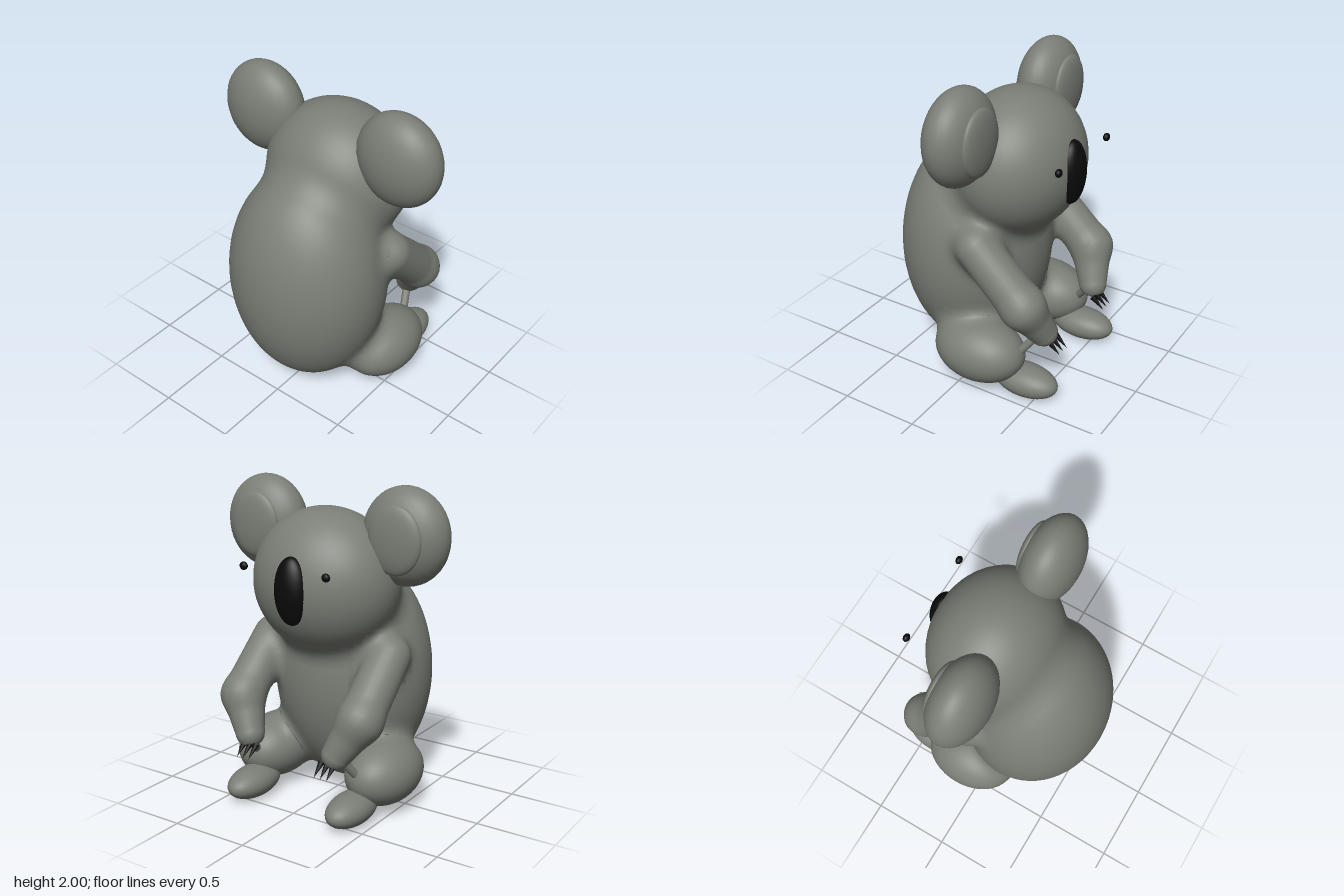
import * as THREE from 'three';

const V = (x, y, z) => new THREE.Vector3(x, y, z);

// Main masses: centre and radii (limbs are mirrored by |x|)
const BODY = { c: V(0, 0.78, 0.17), r: V(0.52, 0.74, 0.465) };
const HEAD = { c: V(0, 1.4, -0.13), r: V(0.47, 0.45, 0.4) };
const THIGH = { c: V(0.41, 0.245, -0.105), r: V(0.22, 0.205, 0.305) };
// Arm joints with radii
const ARM = [
  { p: V(0.43, 0.98, -0.1), r: 0.13 },
  { p: V(0.43, 0.67, -0.425), r: 0.135 },
  { p: V(0.32, 0.46, -0.505), r: 0.09 },
];

// Soft-joined distance field of the furry masses
function ellipsoidField(p, { c, r }) {
  const q = p.clone().sub(c).divide(r);
  const k0 = q.length();
  return (k0 * (k0 - 1)) / Math.max(q.divide(r).length(), 1e-6);
}
function boneField(p, a, b) {
  const d = b.p.clone().sub(a.p);
  const q = p.clone().sub(a.p);
  const t = THREE.MathUtils.clamp(q.dot(d) / d.lengthSq(), 0, 1);
  return q.addScaledVector(d, -t).length() - THREE.MathUtils.lerp(a.r, b.r, t);
}
function softMin(a, b, k) {
  const h = Math.max(k - Math.abs(a - b), 0) / k;
  return Math.min(a, b) - (h * h * k) / 4;
}
function field(v) {
  const p = V(Math.abs(v.x), v.y, v.z);
  const trunk = softMin(ellipsoidField(p, BODY), ellipsoidField(p, HEAD), 0.1);
  const arm = softMin(boneField(p, ARM[0], ARM[1]), boneField(p, ARM[1], ARM[2]), 0.04);
  return softMin(softMin(trunk, ellipsoidField(p, THIGH), 0.1), arm, 0.09);
}
function gradient(p) {
  const e = 0.002;
  const g = ['x', 'y', 'z'].map((axis) => {
    const a = p.clone(), b = p.clone();
    a[axis] += e;
    b[axis] -= e;
    return (field(a) - field(b)) / (2 * e);
  });
  return V(...g);
}

// Pull exposed vertices onto the blended surface and shade from it
function blend(geo) {
  const pos = geo.attributes.position, nor = geo.attributes.normal;
  const p = V(0, 0, 0);
  for (let i = 0; i < pos.count; i++) {
    p.fromBufferAttribute(pos, i);
    if (field(p) > -0.07) {
      for (let n = 0; n < 6; n++) {
        const g = gradient(p);
        p.addScaledVector(g, -field(p) / Math.max(g.lengthSq(), 0.2));
      }
    }
    const n = gradient(p).normalize();
    pos.setXYZ(i, p.x, p.y, p.z);
    nor.setXYZ(i, n.x, n.y, n.z);
  }
  return geo;
}

function ellipsoid(c, r, w = 32, h = 24) {
  return new THREE.SphereGeometry(1, w, h).scale(r.x, r.y, r.z).translate(c.x, c.y, c.z);
}

// Tube with rounded ends that follows the arm joints
function armGeometry(side) {
  const [a, b, c] = ARM.map((j) => j.p);
  const start = a.clone().add(a.clone().sub(b).setLength(0.12));
  const end = c.clone().add(c.clone().sub(b).setLength(0.085));
  const curve = new THREE.CatmullRomCurve3([start, a, b, c, end].map((p) => V(p.x * side, p.y, p.z)));
  const steps = 36, sides = 24;
  const geo = new THREE.TubeGeometry(curve, steps, 0.12, sides);
  const pos = geo.attributes.position, p = V(0, 0, 0);
  for (let i = 0; i <= steps; i++) {
    const t = i / steps, centre = curve.getPointAt(t);
    const s = Math.pow(Math.max(1 - Math.pow(Math.abs(2 * t - 1), 5), 0), 0.5);
    for (let j = 0; j <= sides; j++) {
      const k = i * (sides + 1) + j;
      p.fromBufferAttribute(pos, k).sub(centre).multiplyScalar(Math.max(s, 0.01)).add(centre);
      pos.setXYZ(k, p.x, p.y, p.z);
    }
  }
  return geo;
}

export function createModel() {
  const model = new THREE.Group();
  model.name = 'koala';
  const fur = new THREE.MeshStandardMaterial({ color: 0x7b7e76 });
  fur.name = 'grey fur';
  const black = new THREE.MeshStandardMaterial({ color: 0x0a0a0a });
  black.name = 'black';

  const add = (name, geo, mat = fur) => {
    const mesh = new THREE.Mesh(geo, mat);
    mesh.name = name;
    model.add(mesh);
    return mesh;
  };

  // Trunk
  add('body', blend(ellipsoid(BODY.c, BODY.r, 56, 44)));
  add('head', blend(ellipsoid(HEAD.c, HEAD.r, 48, 36)));
  add('nose', ellipsoid(V(0, 1.4, -0.49), V(0.112, 0.205, 0.082)), black);

  for (const side of [1, -1]) {
    const label = side > 0 ? 'left' : 'right';
    const at = (x, y, z) => V(side * x, y, z);

    // Ears
    add(label + 'Ear', ellipsoid(at(0.5, 1.705, -0.045), V(0.28, 0.295, 0.175)));
    add(label + 'InnerEar', ellipsoid(at(0.5, 1.7, -0.18), V(0.175, 0.205, 0.05)));

    // Eyes
    add(label + 'Eye', ellipsoid(at(0.29, 1.53, -0.563), V(0.027, 0.025, 0.02), 14, 10), black);

    // Limbs
    add(label + 'Arm', blend(armGeometry(side)));
    add(label + 'Thigh', blend(ellipsoid(at(0.41, 0.245, -0.105), THIGH.r, 40, 28)));
    add(label + 'Foot', ellipsoid(at(0.37, 0.1, -0.415), V(0.125, 0.1, 0.22)));

    // Thin web of fur between paw and knee
    const web = new THREE.CatmullRomCurve3([at(0.33, 0.43, -0.47), at(0.35, 0.365, -0.425), at(0.38, 0.28, -0.36)]);
    add(label + 'PawWeb', new THREE.TubeGeometry(web, 10, 0.026, 10));

    // Claws
    for (const x of [0.243, 0.287, 0.331]) {
      const claw = add(label + 'Claw', new THREE.ConeGeometry(0.02, 0.11, 10), black);
      claw.position.copy(at(x, 0.377, -0.588));
      claw.quaternion.setFromUnitVectors(V(0, 1, 0), V(0, -0.66, -0.75).normalize());
    }
  }
  return model;
}
